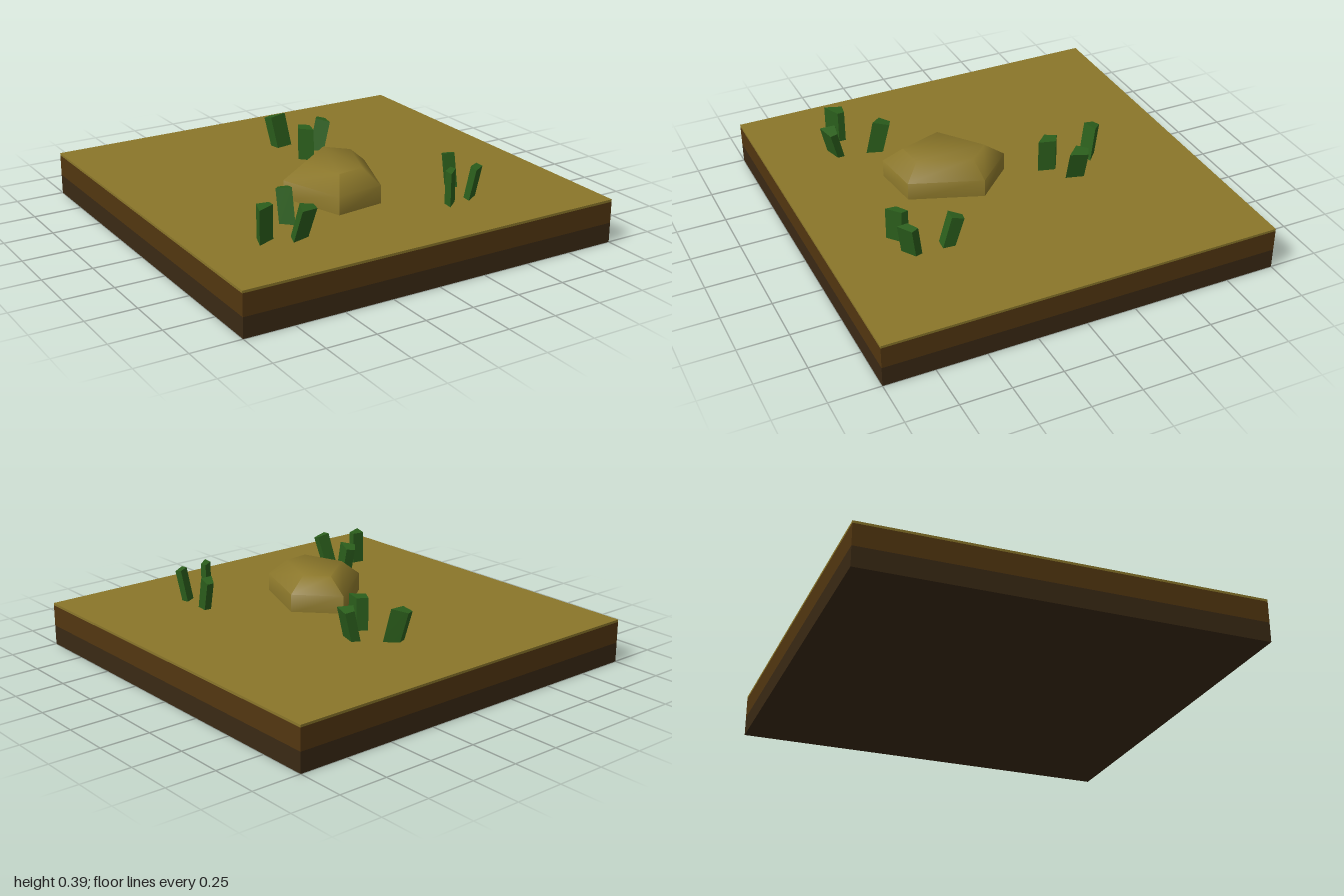
import * as THREE from 'three';
import { toCreasedNormals } from 'three/addons/utils/BufferGeometryUtils.js';

const GROUND = 0.22;
const material = (color) => new THREE.MeshStandardMaterial({ color });

// Closed solid through stacked rings of points, listed clockwise seen from above
function loft(rings, crease) {
  const n = rings[0].length;
  const pos = [];
  const tri = (a, b, c) => [a, b, c].forEach((p) => pos.push(...p));
  for (let r = 0; r < rings.length - 1; r++) {
    const lo = rings[r], hi = rings[r + 1];
    for (let i = 0; i < n; i++) {
      const j = (i + 1) % n;
      tri(lo[j], lo[i], hi[i]);
      tri(lo[j], hi[i], hi[j]);
    }
  }
  const top = rings[rings.length - 1], bottom = rings[0];
  for (let i = 1; i < n - 1; i++) {
    tri(top[0], top[i + 1], top[i]);
    tri(bottom[0], bottom[i], bottom[i + 1]);
  }
  const geo = new THREE.BufferGeometry();
  geo.setAttribute('position', new THREE.Float32BufferAttribute(pos, 3));
  return toCreasedNormals(geo, crease);
}

// Moves every side of a clockwise outline inwards by d
function inset(points, d) {
  const n = points.length;
  const unit = (a, b) => {
    const l = Math.hypot(b[0] - a[0], b[1] - a[1]);
    return [(b[0] - a[0]) / l, (b[1] - a[1]) / l];
  };
  return points.map((p, i) => {
    const u = unit(p, points[(i + n - 1) % n]);
    const v = unit(p, points[(i + 1) % n]);
    const s = d / Math.abs(u[0] * v[1] - u[1] * v[0]);
    return [p[0] + (u[0] + v[0]) * s, p[1] + (u[1] + v[1]) * s];
  });
}

// Four-sided stalk: top outline in x, z and how far the top leans from the foot
function stalk(outline, [lx, lz]) {
  const cx = outline.reduce((s, p) => s + p[0], 0) / 4;
  const cz = outline.reduce((s, p) => s + p[1], 0) / 4;
  const height = 0.165 - Math.hypot(lx, lz) * 0.2;
  const top = outline.map(([x, z]) =>
    [x, GROUND + height - (lx * (x - cx) + lz * (z - cz)) / height, z]);
  const foot = outline.map(([x, z]) => [x - lx, GROUND - 0.005, z - lz]);
  return loft([foot, top], 0.1);
}

export function createModel() {
  const model = new THREE.Group();
  const add = (name, geo, mat, parent = model) => {
    const mesh = new THREE.Mesh(geo, mat);
    mesh.name = name;
    parent.add(mesh);
    return mesh;
  };

  // Square ground tile in three layers
  const sand = material(0x8a762a);
  const layers = [
    ['bedrockLayer', 0, 0.1, material(0x3a2914)],
    ['soilLayer', 0.1, 0.208, material(0x523610)],
    ['surfaceLayer', 0.208, GROUND, sand],
  ];
  for (const [name, y0, y1, mat] of layers) {
    add(name, new THREE.BoxGeometry(2, y1 - y0, 2), mat).position.y = (y0 + y1) / 2;
  }

  // Five-sided mound with a softly shaded bevel
  const outline = [[-0.02, -0.07], [0.16, 0.12], [0.03, 0.47], [-0.22, 0.5], [-0.33, 0.17]];
  const ring = (pts, y) => pts.map(([x, z]) => [x, y, z]);
  add('mound', loft([
    ring(outline, GROUND - 0.005),
    ring(outline, 0.31),
    ring(inset(outline, 0.08), 0.387),
  ], 0.88), sand);

  // Three clumps of three stalks
  const green = material(0x2b5e1c);
  const clumps = {
    backClump: [
      [[[-0.02, -0.57], [0.02, -0.585], [0.08, -0.53], [-0.01, -0.515]], [-0.02, -0.035]],
      [[[0.175, -0.37], [0.21, -0.42], [0.25, -0.4], [0.225, -0.31]], [0.04, 0]],
      [[[0.013, -0.275], [0.045, -0.33], [0.093, -0.3], [0.07, -0.215]], [0, 0]],
    ],
    rightClump: [
      [[[-0.505, 0.405], [-0.465, 0.36], [-0.425, 0.38], [-0.45, 0.46]], [0.005, -0.04]],
      [[[-0.71, 0.625], [-0.68, 0.54], [-0.62, 0.55], [-0.62, 0.585]], [0, 0]],
      [[[-0.54, 0.71], [-0.515, 0.64], [-0.45, 0.65], [-0.45, 0.685]], [0.025, 0.04]],
    ],
    leftClump: [
      [[[0.42, 0.43], [0.45, 0.37], [0.485, 0.375], [0.48, 0.435]], [0.01, -0.045]],
      [[[0.28, 0.685], [0.285, 0.63], [0.34, 0.595], [0.345, 0.63]], [0, 0]],
      [[[0.425, 0.685], [0.43, 0.635], [0.485, 0.605], [0.495, 0.64]], [0.02, 0.025]],
    ],
  };
  for (const [name, stalks] of Object.entries(clumps)) {
    const group = new THREE.Group();
    group.name = name;
    stalks.forEach(([pts, lean]) => add('stalk', stalk(pts, lean), green, group));
    model.add(group);
  }
  return model;
}
